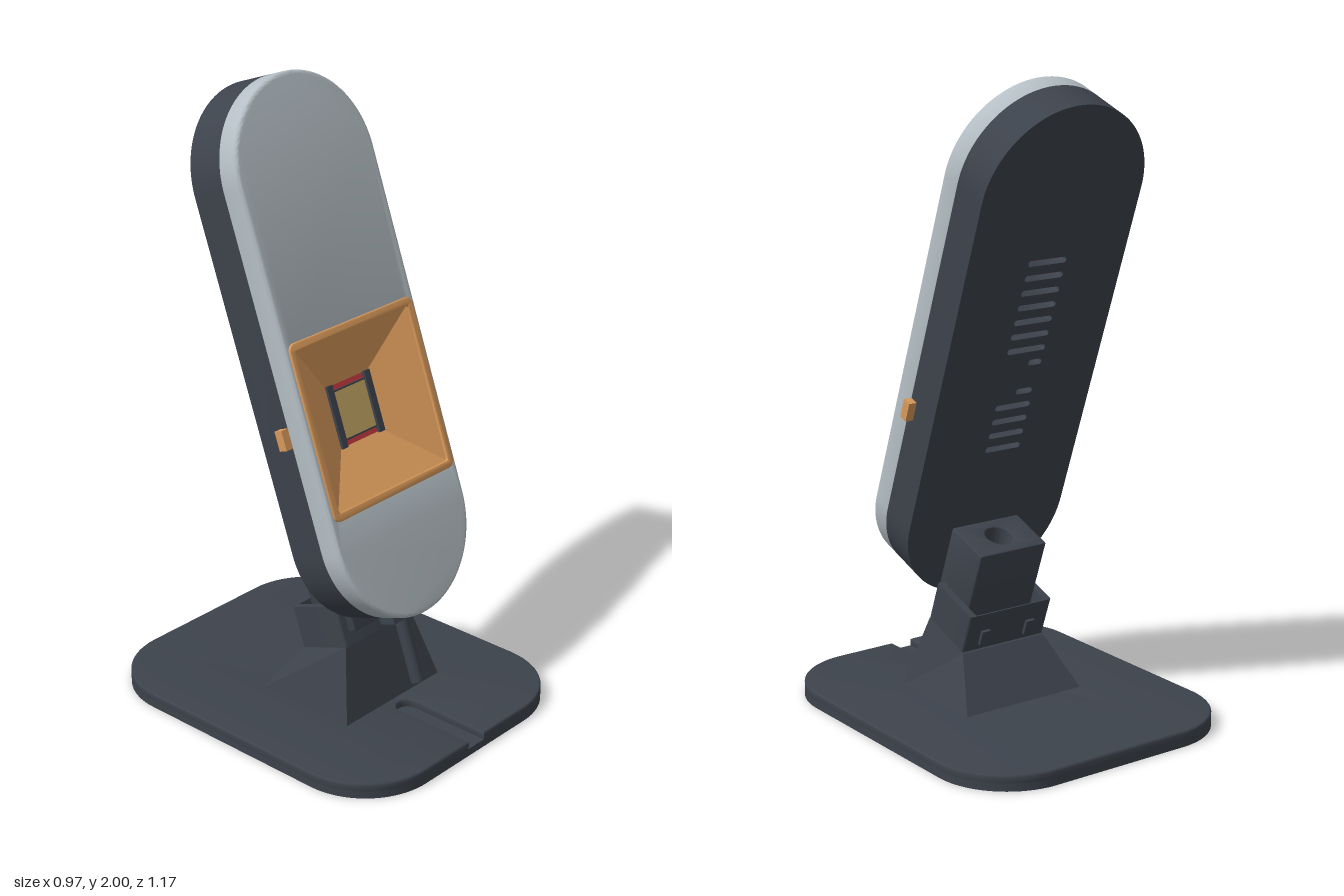
import * as THREE from 'three';
import { toCreasedNormals } from 'three/addons/utils/BufferGeometryUtils.js';

const material = (name, color) => {
  const m = new THREE.MeshStandardMaterial({ color });
  m.name = name;
  return m;
};

// Rounded rectangle outline, usable as a shape or a hole
function roundedRect(w, h, r, cx = 0, cy = 0, target = new THREE.Shape()) {
  const x = w / 2 - r, y = h / 2 - r, q = Math.PI / 2;
  target.absarc(cx + x, cy + y, r, 0, q);
  target.absarc(cx - x, cy + y, r, q, 2 * q);
  target.absarc(cx - x, cy - y, r, 2 * q, 3 * q);
  target.absarc(cx + x, cy - y, r, 3 * q, 4 * q);
  target.closePath();
  return target;
}
const hole = (w, h, r, cx, cy) => roundedRect(w, h, r, cx, cy, new THREE.Path());

// Plate from z0 to z1; a bevel softens the z1 edge, its twin sinks behind z0
function plate(shape, z0, z1, bevel = 0) {
  const g = new THREE.ExtrudeGeometry(shape, {
    depth: z1 - z0 - bevel, curveSegments: 20, bevelEnabled: bevel > 0,
    bevelThickness: bevel, bevelSize: bevel, bevelOffset: -bevel, bevelSegments: 3,
  });
  g.translate(0, 0, z0);
  return toCreasedNormals(g, 0.6);
}

export function createModel() {
  const dark = material('charcoal', 0x3d434c);
  const light = material('paleGrey', 0xb5bfc5);
  const orange = material('copper', 0xd8995a);
  const gold = material('gold', 0xbfa262);
  const red = material('red', 0xc43a40);
  orange.side = THREE.DoubleSide;

  const model = new THREE.Group();
  const head = new THREE.Group();
  head.name = 'tiltedHead';
  head.position.set(0, 1.205, 0.09);
  head.rotation.x = -THREE.MathUtils.degToRad(20);
  model.add(head);

  const add = (parent, name, geometry, mat, x = 0, y = 0, z = 0) => {
    const m = new THREE.Mesh(geometry, mat);
    m.name = name;
    m.position.set(x, y, z);
    parent.add(m);
    return m;
  };
  const box = (w, h, d) => new THREE.BoxGeometry(w, h, d);
  const hornY = -0.19;

  // Front cover with the horn opening
  const cover = roundedRect(0.582, 1.69, 0.29);
  cover.holes.push(hole(0.504, 0.504, 0.01, 0, hornY));
  add(head, 'frontCover', plate(cover, -0.07, 0, 0.012), light);

  // Hollow rear shell
  const shell = roundedRect(0.58, 1.69, 0.289);
  shell.holes.push(hole(0.53, 1.64, 0.264, 0, 0));
  add(head, 'rearShell', plate(shell, -0.17, -0.07), dark);

  // Back panel with two groups of vent slots
  const back = roundedRect(0.58, 1.69, 0.289);
  for (let i = 0; i < 8; i++) back.holes.push(hole(i < 7 ? 0.14 : 0.05, 0.02, 0.009, i < 7 ? 0 : -0.045, 0.34 - i * 0.05));
  for (let i = 0; i < 5; i++) back.holes.push(hole(i ? 0.13 : 0.06, 0.02, 0.009, i ? 0 : -0.03, -0.11 - i * 0.05));
  add(head, 'backPanel', plate(back, -0.2, -0.17), dark);

  // Circuit board behind the vents
  add(head, 'circuitBoard', box(0.3, 0.6, 0.01), red, 0, 0.12, -0.13);
  add(head, 'boardShield', box(0.12, 0.1, 0.014), light, 0, 0.17, -0.14);
  add(head, 'lowerChassis', box(0.3, 0.3, 0.01), dark, 0, -0.3, -0.14);

  // Horn: lip and four-sided funnel
  const lip = roundedRect(0.55, 0.55, 0.025);
  lip.holes.push(hole(0.5, 0.5, 0.008, 0, 0));
  add(head, 'hornLip', plate(lip, -0.01, 0.007, 0.003), orange, 0, hornY, 0);
  const profile = [[0.095, -0.08], [0.252, 0.001]].map(([r, y]) => new THREE.Vector2(r * Math.SQRT2, y));
  const funnel = new THREE.LatheGeometry(profile, 4, Math.PI / 4).toNonIndexed();
  funnel.rotateX(Math.PI / 2);
  funnel.computeVertexNormals();
  add(head, 'hornFunnel', funnel, orange, 0, hornY, 0);

  // Sensor in the throat of the horn
  add(head, 'sensorBoard', box(0.2, 0.2, 0.01), red, 0, hornY, -0.087);
  add(head, 'sensorWindow', box(0.14, 0.148, 0.006), gold, 0, hornY, -0.08);
  for (const s of [-1, 1]) {
    add(head, 'sensorRail', box(0.024, 0.196, 0.02), dark, s * 0.084, hornY, -0.08);
    add(head, 'sensorFrame', box(0.14, 0.005, 0.012), dark, 0, hornY + s * 0.076, -0.08);
    // Side pegs
    add(head, 'sidePeg', box(0.03, 0.062, 0.03), orange, s * 0.302, hornY, -0.088);
  }

  // Cable and plug under the head
  add(head, 'cable', new THREE.CylinderGeometry(0.021, 0.021, 0.24, 20), dark, 0, -0.955, -0.119);
  add(head, 'plug', box(0.12, 0.03, 0.06), dark, 0, -0.85, -0.119);

  // Mounting block with a vertical bore; plates are turned so they rise along y
  const block = roundedRect(0.25, 0.163, 0.006);
  block.holes.push(hole(0.09, 0.09, 0.0449, 0, 0));
  add(head, 'mountBlock', plate(block, 0, 0.274, 0.004).rotateX(-Math.PI / 2), dark, 0, -0.86, -0.2815);

  // Collar around the block
  const collar = roundedRect(0.31, 0.19, 0.006);
  collar.holes.push(hole(0.262, 0.166, 0.004, 0, 0.008));
  add(head, 'collar', plate(collar, 0, 0.134).rotateX(-Math.PI / 2), dark, 0, -0.906, -0.321);
  add(head, 'collarFloor', box(0.3, 0.04, 0.18), dark, 0, -0.886, -0.321);
  for (const s of [-1, 1]) {
    add(head, 'collarClip', box(0.03, 0.05, 0.012), dark, s * 0.085, -0.86, -0.42);
  }

  // Tapered neck: a box whose top meets the tilted collar
  const neck = box(2, 2, 2).toNonIndexed();
  const p = neck.attributes.position;
  for (let i = 0; i < p.count; i++) {
    const top = p.getY(i) > 0, front = p.getZ(i) > 0;
    p.setXYZ(i, p.getX(i) * (top ? 0.155 : 0.22),
      top ? (front ? 0.276 : 0.208) : 0.045,
      top ? (front ? 0.186 : 0.005) : (front ? 0.25 : -0.11));
  }
  neck.computeVertexNormals();
  add(model, 'neck', neck, dark);

  // Base: a full slab below and a slab with the cable groove above
  const slab = roundedRect(0.97, 1.17, 0.245);
  add(model, 'baseBottom', plate(slab, 0, 0.025).rotateX(-Math.PI / 2), dark);
  const w = 0.485, d = 0.585, r = 0.245, n = 0.037, q = Math.PI / 2;
  const grooved = new THREE.Shape();
  grooved.absarc(w - r, d - r, r, 0, q);
  grooved.absarc(r - w, d - r, r, q, 2 * q);
  grooved.absarc(r - w, r - d, r, 2 * q, 3 * q);
  grooved.lineTo(-n, -d);
  grooved.absarc(0, -0.31, n, 2 * q, 0, true);
  grooved.lineTo(n, -d);
  grooved.absarc(w - r, r - d, r, 3 * q, 4 * q);
  add(model, 'baseTop', plate(grooved, 0.025, 0.05, 0.006).rotateX(-Math.PI / 2), dark);

  return model;
}
